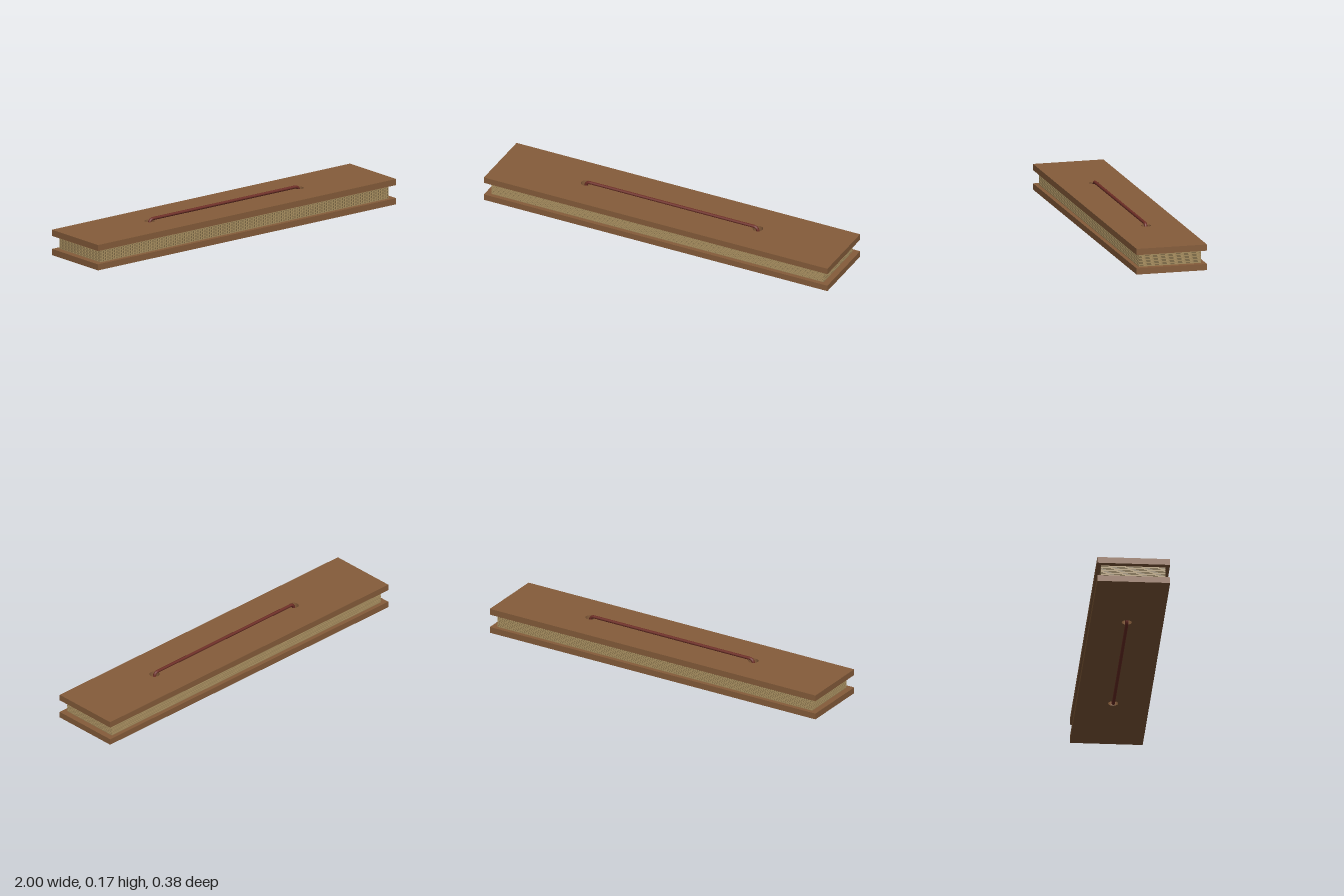
import * as THREE from 'three';

const HOLE_X = 0.5, HOLE_R = 0.027;

// Flat rectangular slab with the two cord holes, lying between y and y + height
function slab(name, halfX, halfZ, y, height, material) {
  const shape = new THREE.Shape();
  shape.moveTo(-halfX, -halfZ);
  shape.lineTo(halfX, -halfZ);
  shape.lineTo(halfX, halfZ);
  shape.lineTo(-halfX, halfZ);
  shape.closePath();
  for (const side of [-1, 1]) {
    const hole = new THREE.Path();
    hole.absarc(side * HOLE_X, 0, HOLE_R, 0, Math.PI * 2, true);
    shape.holes.push(hole);
  }
  const geometry = new THREE.ExtrudeGeometry(shape, { depth: height, bevelEnabled: false, curveSegments: 12 });
  geometry.rotateX(-Math.PI / 2);
  const mesh = new THREE.Mesh(geometry, material);
  mesh.name = name;
  mesh.position.y = y;
  return mesh;
}

// Closed rounded rectangle that the cord follows
function cordPath(halfX, low, high, r) {
  const v = (x, y) => new THREE.Vector3(x, y, 0);
  const corners = [v(-halfX, low), v(halfX, low), v(halfX, high), v(-halfX, high)];
  const path = new THREE.CurvePath();
  const toward = (a, b) => a.clone().add(b.clone().sub(a).setLength(r));
  corners.forEach((c, i) => {
    const prev = corners[(i + 3) % 4], next = corners[(i + 1) % 4];
    path.add(new THREE.QuadraticBezierCurve3(toward(c, prev), c, toward(c, next)));
    path.add(new THREE.LineCurve3(toward(c, next), toward(next, c)));
  });
  return path;
}

export function createModel() {
  const wood = new THREE.MeshStandardMaterial({ color: 0x855c3a });
  wood.name = 'wood';
  const leafTan = new THREE.MeshStandardMaterial({ color: 0xa58c5e });
  leafTan.name = 'leaf tan';
  const leafDark = new THREE.MeshStandardMaterial({ color: 0x5a4b30 });
  leafDark.name = 'leaf dark';
  const cordRed = new THREE.MeshStandardMaterial({ color: 0x6e2e26 });
  cordRed.name = 'cord red';

  const model = new THREE.Group();
  model.name = 'boundLeafBook';

  // Cover boards
  model.add(slab('bottomBoard', 1, 0.19, 0.017, 0.033, wood));
  model.add(slab('topBoard', 1, 0.19, 0.121, 0.033, wood));

  // Stack of leaves with narrow recessed layers between them
  const leaves = new THREE.Group();
  leaves.name = 'leaves';
  const count = 9, gap = 0.0022, thick = (0.071 - (count - 1) * gap) / count;
  for (let i = 0; i < count; i++) {
    const y = 0.05 + i * (thick + gap);
    leaves.add(slab('leaf', 0.967, 0.168, y, thick, leafTan));
    if (i < count - 1) leaves.add(slab('leafGap', 0.964, 0.165, y + thick, gap, leafDark));
  }
  model.add(leaves);

  // Cord looped through both holes
  const cord = new THREE.Mesh(
    new THREE.TubeGeometry(cordPath(HOLE_X, 0.0085, 0.1625, 0.025), 400, 0.0085, 10, true), cordRed);
  cord.name = 'cord';
  model.add(cord);
  return model;
}
